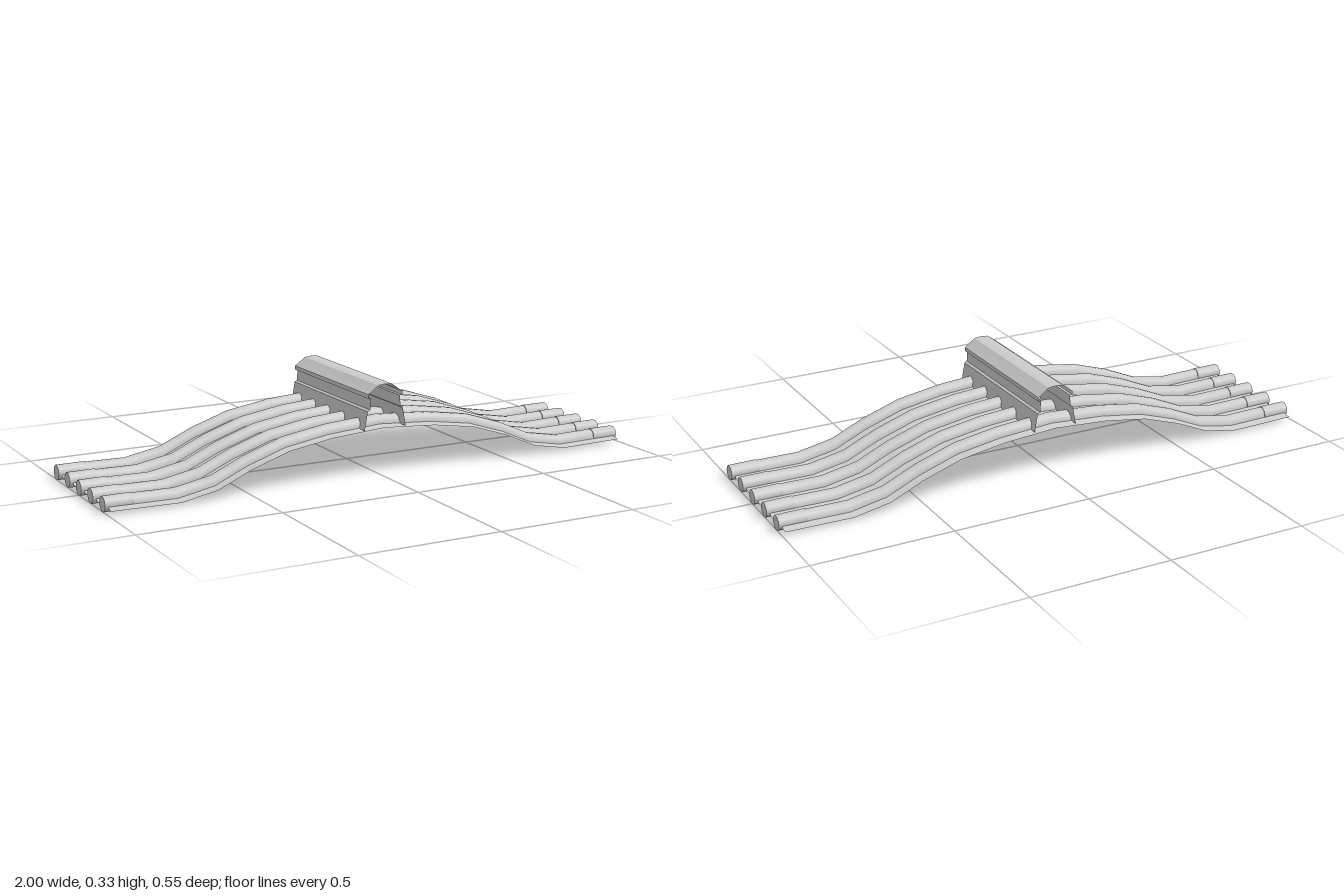
import * as THREE from 'three';
import { toCreasedNormals } from 'three/addons/utils/BufferGeometryUtils.js';

const material = new THREE.MeshStandardMaterial({ color: 0xcccccc, side: THREE.DoubleSide });

// Open sheet from rows of points: point(i, j) returns [x, y, z].
function sheet(rows, cols, point, crease) {
  const pos = [], index = [];
  for (let i = 0; i < rows; i++)
    for (let j = 0; j < cols; j++) {
      pos.push(...point(i, j));
      if (i && j) {
        const d = i * cols + j, c = d - 1, b = d - cols, a = b - 1;
        index.push(a, c, b, b, c, d);
      }
    }
  const g = new THREE.BufferGeometry();
  g.setAttribute('position', new THREE.Float32BufferAttribute(pos, 3));
  g.setIndex(index);
  return toCreasedNormals(g, crease);
}

function add(parent, name, geometry) {
  const mesh = new THREE.Mesh(geometry, material);
  mesh.name = name;
  parent.add(mesh);
  return mesh;
}

export function createModel() {
  const model = new THREE.Group();
  model.name = 'tiledRoof';

  const pitch = 0.1092, zShift = -0.0015, count = 5;
  const barrelZ = k => (k - (count - 1) / 2) * pitch + zShift;

  // Roof slope: height of the barrel tops along x, mirrored about the ridge
  const half = [[0, 0.208], [0.2, 0.194], [0.36, 0.169], [0.5, 0.123], [0.62, 0.07], [0.75, 0.046], [0.99, 0.05]];
  const slope = [...half.slice(1).reverse().map(([x, y]) => [-x, y]), ...half];

  // Cross-section: raised barrels with sagging pans between them
  const section = [];
  for (let k = 0; k < count; k++) {
    const z = barrelZ(k);
    if (k === 0) section.push([z - pitch / 2, -0.037]);
    section.push([z - 0.037, -0.035], [z - 0.024, -0.03]);
    for (let s = 0; s <= 5; s++) {
      const a = Math.PI * (1 - s / 5);
      section.push([z + 0.0235 * Math.cos(a), 0.0247 * (Math.sin(a) / 0.951 - 1)]);
    }
    section.push([z + 0.024, -0.03], [z + 0.037, -0.035], [z + pitch / 2, -0.037]);
  }
  add(model, 'roofTiles', sheet(slope.length, section.length, (i, j) =>
    [slope[i][0], slope[i][1] + section[j][1], section[j][0]].map((v, n) => n === 1 ? Math.max(v, 0.009) : v), 0.75)
  );

  // Round end tiles along both eaves
  const ends = new THREE.Group();
  ends.name = 'eaveTileEnds';
  model.add(ends);
  const endGeometry = new THREE.CylinderGeometry(0.0265, 0.0265, 0.1, 10).rotateZ(Math.PI / 2);
  for (const side of [-1, 1])
    for (let k = 0; k < count; k++)
      add(ends, 'eaveTileEnd', endGeometry).position.set(side * 0.95, 0.0252, barrelZ(k));

  // Ridge cap: open moulded profile running along z
  const profile = [[0.08, 0.17], [0.068, 0.235], [0.059, 0.24], [0.056, 0.28], [0.066, 0.28],
    [0.066, 0.294], [0.052, 0.303], [0.027, 0.322], [0, 0.325]];
  const ridge = [...profile, ...profile.slice(0, -1).reverse().map(([x, y]) => [-x, y])].reverse();
  add(model, 'ridgeCap', sheet(ridge.length, 2, (i, j) => [...ridge[i], j ? 0.278 : -0.27], 0.5));

  return model;
}
